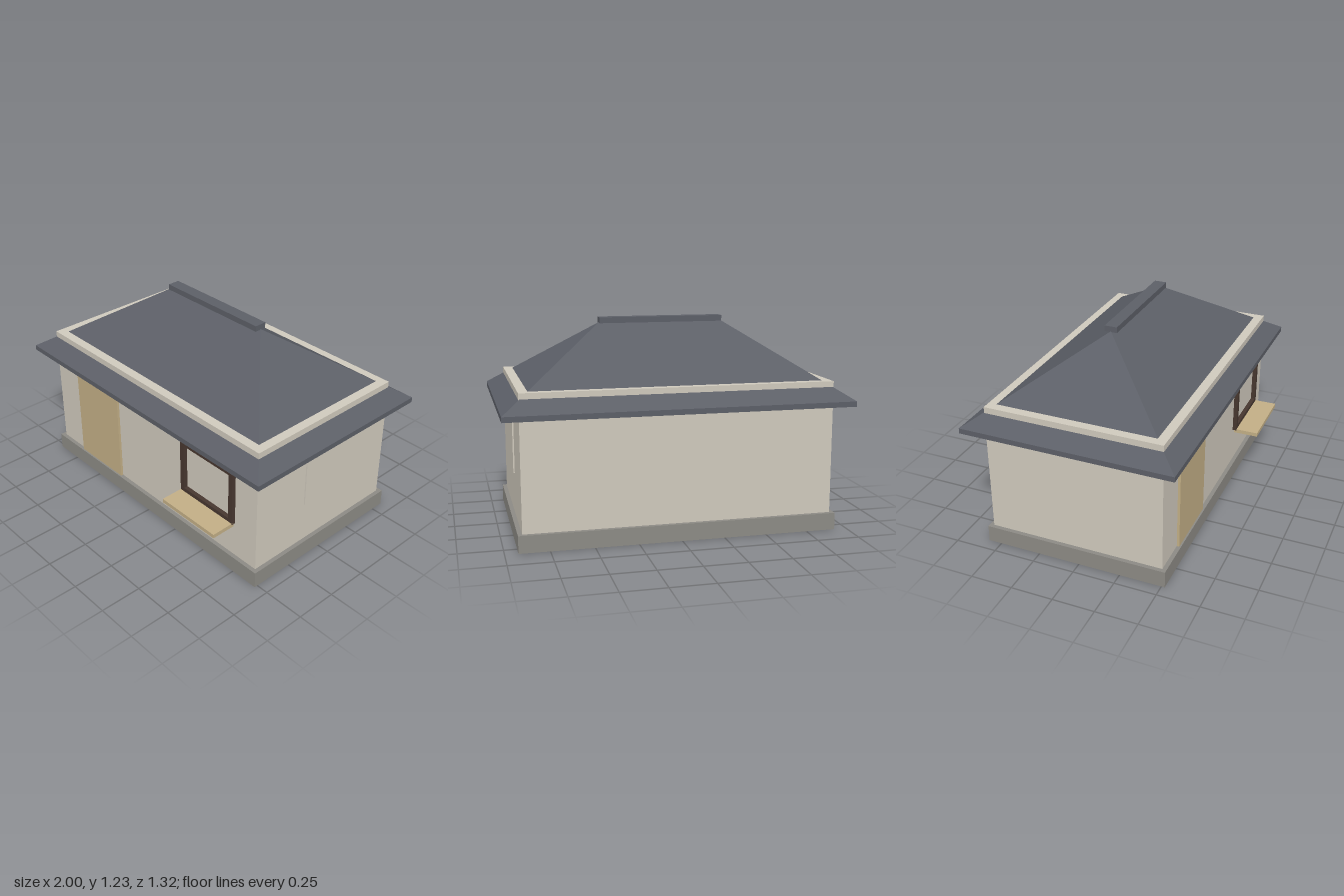
import * as THREE from 'three';

const material = (name, color) => {
  const m = new THREE.MeshStandardMaterial({ color });
  m.name = name;
  return m;
};

export function createModel() {
  const house = new THREE.Group();
  house.name = 'house';

  const plaster = material('plaster', 0xcfc9bc);
  const slate = material('slate', 0x5c5f67);
  const stone = material('stone', 0x8c8a84);
  const wood = material('wood', 0xc2ae85);
  const darkWood = material('darkWood', 0x47372f);

  // Box given by its limits on each axis
  const box = (name, mat, [x0, x1], [y0, y1], [z0, z1], parent = house) => {
    const mesh = new THREE.Mesh(new THREE.BoxGeometry(x1 - x0, y1 - y0, z1 - z0), mat);
    mesh.position.set((x0 + x1) / 2, (y0 + y1) / 2, (z0 + z1) / 2);
    mesh.name = name;
    parent.add(mesh);
    return mesh;
  };

  // Plinth and walls; the wall tops rise through the roof as a thin parapet
  box('foundation', stone, [-0.925, 0.925], [0, 0.1], [-0.58, 0.52]);
  box('walls', plaster, [-0.9, 0.9], [0.1, 0.88], [-0.555, 0.495]);

  // Hipped roof: a box whose top is drawn in to the ridge line
  const roof = new THREE.Group();
  roof.name = 'roof';
  house.add(roof);
  box('eaves', slate, [-1, 1], [0.745, 0.776], [-0.66, 0.594], roof);
  const hip = box('hippedRoof', slate, [-1, 1], [0.776, 1.2], [-0.66, 0.594], roof);
  const p = hip.geometry.attributes.position;
  for (let i = 0; i < p.count; i++) {
    if (p.getY(i) > 0) {
      p.setX(i, Math.sign(p.getX(i)) * 0.372);
      p.setZ(i, Math.sign(p.getZ(i)) * 0.001);
    }
  }
  hip.geometry = hip.geometry.toNonIndexed();
  hip.geometry.computeVertexNormals();
  box('ridgeCap', slate, [-0.372, 0.372], [1.196, 1.23], [-0.07, 0.004], roof);

  // Front door
  box('door', wood, [-0.68, -0.28], [0.1, 0.728], [0.49, 0.51]);

  // Front window: open frame with a projecting sill
  const frame = new THREE.Shape([[0.31, 0.325], [0.735, 0.325], [0.735, 0.68], [0.31, 0.68]]
    .map(([x, y]) => new THREE.Vector2(x, y)));
  frame.holes.push(new THREE.Path([[0.34, 0.358], [0.34, 0.65], [0.705, 0.65], [0.705, 0.358]]
    .map(([x, y]) => new THREE.Vector2(x, y))));
  const windowFrame = new THREE.Mesh(
    new THREE.ExtrudeGeometry(frame, { depth: 0.025, bevelEnabled: false }), darkWood);
  windowFrame.position.z = 0.495;
  windowFrame.name = 'windowFrame';
  house.add(windowFrame);
  box('windowSill', wood, [0.31, 0.735], [0.31, 0.334], [0.505, 0.656]);

  // Blank window panel on the left wall
  box('sidePanel', plaster, [0.899, 0.908], [0.352, 0.654], [-0.18, 0.12]);

  return house;
}
